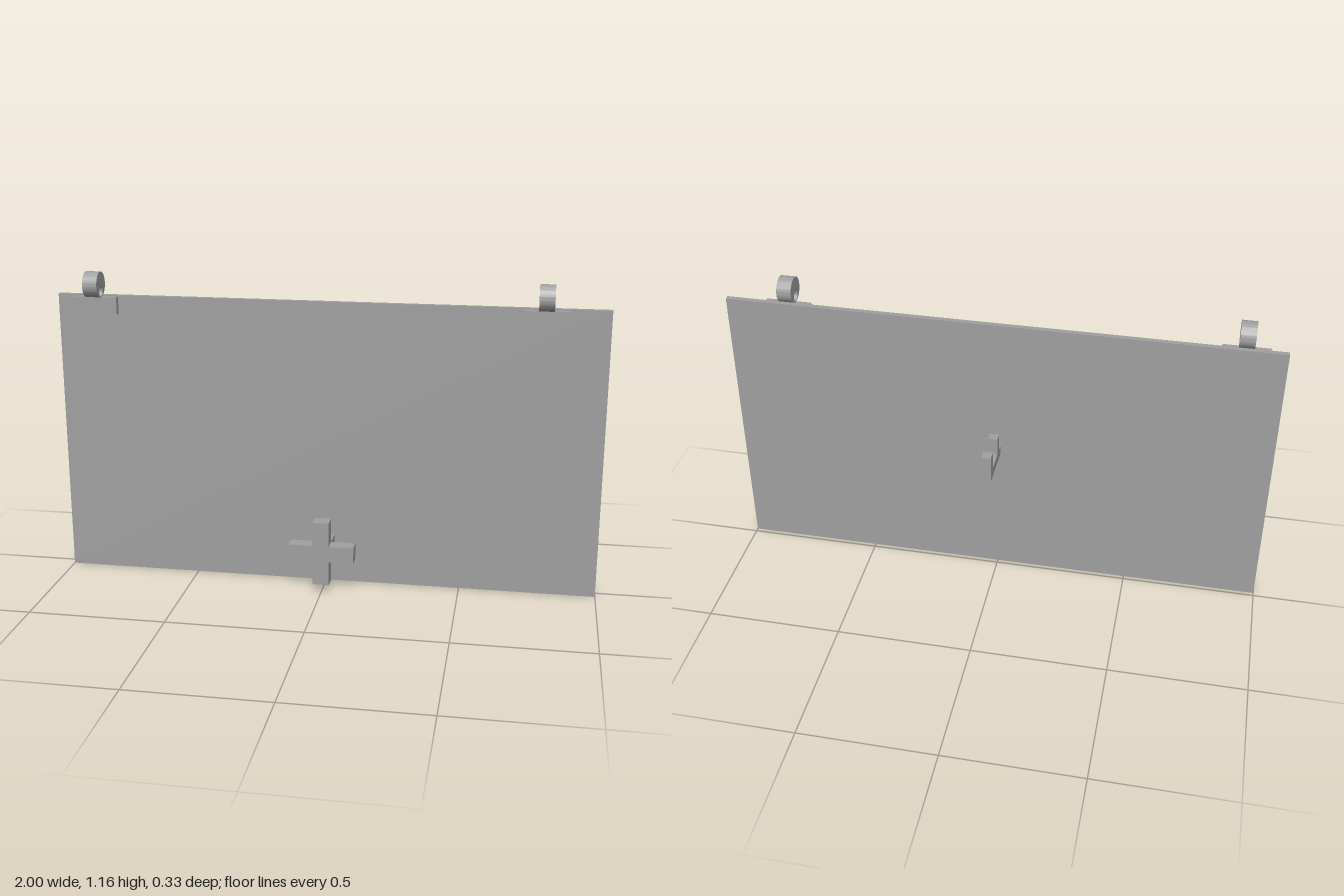
import * as THREE from 'three';
import { toCreasedNormals } from 'three/addons/utils/BufferGeometryUtils.js';

export function createModel() {
  const model = new THREE.Group();
  model.name = 'hangingPanel';
  const grey = new THREE.MeshStandardMaterial({ color: 0xa0a0a0 });
  grey.name = 'grey';

  const add = (name, geometry, parent = model) => {
    const mesh = new THREE.Mesh(geometry, grey);
    mesh.name = name;
    parent.add(mesh);
    return mesh;
  };
  const box = (name, x0, x1, y0, y1, z0, z1, parent) =>
    add(name, new THREE.BoxGeometry(x1 - x0, y1 - y0, z1 - z0)
      .translate((x0 + x1) / 2, (y0 + y1) / 2, (z0 + z1) / 2), parent);

  // Extrudes a profile along x; profile coordinates are (-z, y)
  const extrudeX = (shape, x0, x1) =>
    new THREE.ExtrudeGeometry(shape, { depth: x1 - x0, bevelEnabled: false, curveSegments: 32 })
      .rotateY(Math.PI / 2).translate(x0, 0, 0);

  // Thin upright panel
  box('panel', -1, 1, 0, 1.068, 0.015, 0.034);

  // Cross-shaped handle on the front, with its stem
  const handle = new THREE.Group();
  handle.name = 'crossHandle';
  model.add(handle);
  const a = 0.03, b = 0.121;
  const cross = new THREE.Shape([
    [-a, -b], [a, -b], [a, -a], [b, -a], [b, a], [a, a],
    [a, b], [-a, b], [-a, a], [-b, a], [-b, -a], [-a, -a],
  ].map(([x, y]) => new THREE.Vector2(x, y)));
  add('cross', new THREE.ExtrudeGeometry(cross, { depth: 0.052, bevelEnabled: false })
    .translate(0, 0.155, 0.113), handle);
  box('stem', -a, a, 0.122, 0.183, 0.034, 0.113, handle);

  // Two-pronged bracket on the back
  const bracket = new THREE.Shape([
    [-0.015, 0.52], [0.163, 0.52], [0.163, 0.624], [0.125, 0.624], [0.125, 0.557],
    [0.042, 0.557], [0.042, 0.624], [0.008, 0.624], [0.008, 0.557], [-0.015, 0.557],
  ].map(([x, y]) => new THREE.Vector2(x, y)));
  add('rearBracket', extrudeX(bracket, -0.01, 0.026));

  // Hangers: mounting plate and a ring with an off-centre hole
  const ring = new THREE.Shape().absarc(-0.055, 1.11, 0.047, 0, Math.PI * 2);
  ring.holes.push(new THREE.Path().absarc(-0.055, 1.084, 0.019, 0, Math.PI * 2, true));
  for (const [side, x] of [['right', -0.856], ['left', 0.775]]) {
    const hanger = new THREE.Group();
    hanger.name = side + 'Hanger';
    model.add(hanger);
    box('mountingPlate', x - 0.083, x + 0.083, 1.0, 1.063, 0.034, 0.055, hanger);
    add('ring', toCreasedNormals(extrudeX(ring, x - 0.027, x + 0.027), 0.6), hanger);
  }
  return model;
}
